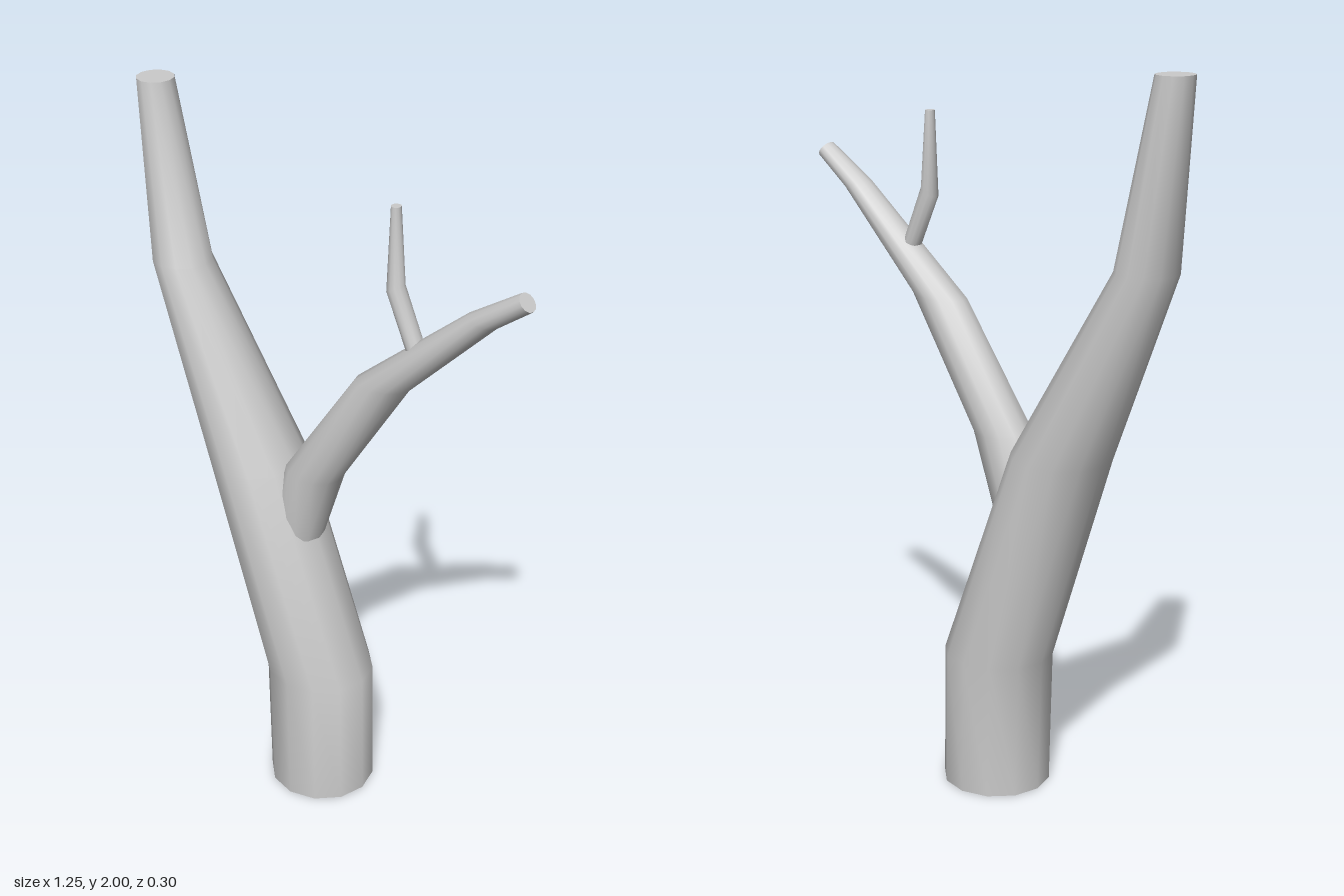
import * as THREE from 'three';

const SIDES = 12;
const material = new THREE.MeshStandardMaterial({ color: 0xcccccc });

// Lofts a closed limb through rings [leftX, leftY, rightX, rightY, depthRadius], base to tip.
function limb(name, rings) {
  const positions = [];
  const index = [];
  const addRing = ([lx, ly, rx, ry, rz]) => {
    const start = positions.length / 3;
    for (let i = 0; i < SIDES; i++) {
      const a = (i / SIDES) * Math.PI * 2;
      const c = Math.cos(a) / 2;
      positions.push(
        (lx + rx) / 2 + (rx - lx) * c,
        (ly + ry) / 2 + (ry - ly) * c,
        Math.sin(a) * rz
      );
    }
    return start;
  };

  // Bark: smooth walls between neighbouring rings
  const starts = rings.map(addRing);
  for (let k = 0; k + 1 < starts.length; k++) {
    for (let i = 0; i < SIDES; i++) {
      const j = (i + 1) % SIDES;
      const a = starts[k] + i, b = starts[k] + j;
      const c = starts[k + 1] + i, d = starts[k + 1] + j;
      index.push(a, c, d, a, d, b);
    }
  }

  // Cut ends: own vertices, so the rims stay sharp
  const bottom = addRing(rings[0]);
  const top = addRing(rings[rings.length - 1]);
  for (let i = 1; i + 1 < SIDES; i++) {
    index.push(bottom, bottom + i, bottom + i + 1);
    index.push(top, top + i + 1, top + i);
  }

  const geometry = new THREE.BufferGeometry();
  geometry.setAttribute('position', new THREE.Float32BufferAttribute(positions, 3));
  geometry.setIndex(index);
  geometry.computeVertexNormals();
  const mesh = new THREE.Mesh(geometry, material);
  mesh.name = name;
  return mesh;
}

export function createModel() {
  const tree = new THREE.Group();
  tree.name = 'bareTree';

  // Leaning trunk
  tree.add(limb('trunk', [
    [-0.17, 0, 0.13, 0, 0.148],
    [-0.18, 0.38, 0.125, 0.38, 0.148],
    [-0.375, 0.98, -0.11, 0.99, 0.142],
    [-0.588, 1.51, -0.42, 1.51, 0.083],
    [-0.625, 2, -0.525, 2, 0.052],
  ]));

  // Side branch, rooted inside the trunk
  tree.add(limb('branch', [
    [-0.18, 0.82, -0.03, 0.8, 0.072],
    [-0.125, 1.02, 0.04, 1.01, 0.076],
    [0.1, 1.35, 0.265, 1.36, 0.06],
    [0.44, 1.635, 0.52, 1.615, 0.037],
    [0.585, 1.73, 0.62, 1.69, 0.026],
  ]));

  // Small twig on the branch
  tree.add(limb('twig', [
    [0.265, 1.465, 0.315, 1.465, 0.028],
    [0.193, 1.62, 0.24, 1.645, 0.025],
    [0.2, 1.85, 0.226, 1.85, 0.014],
  ]));

  return tree;
}
